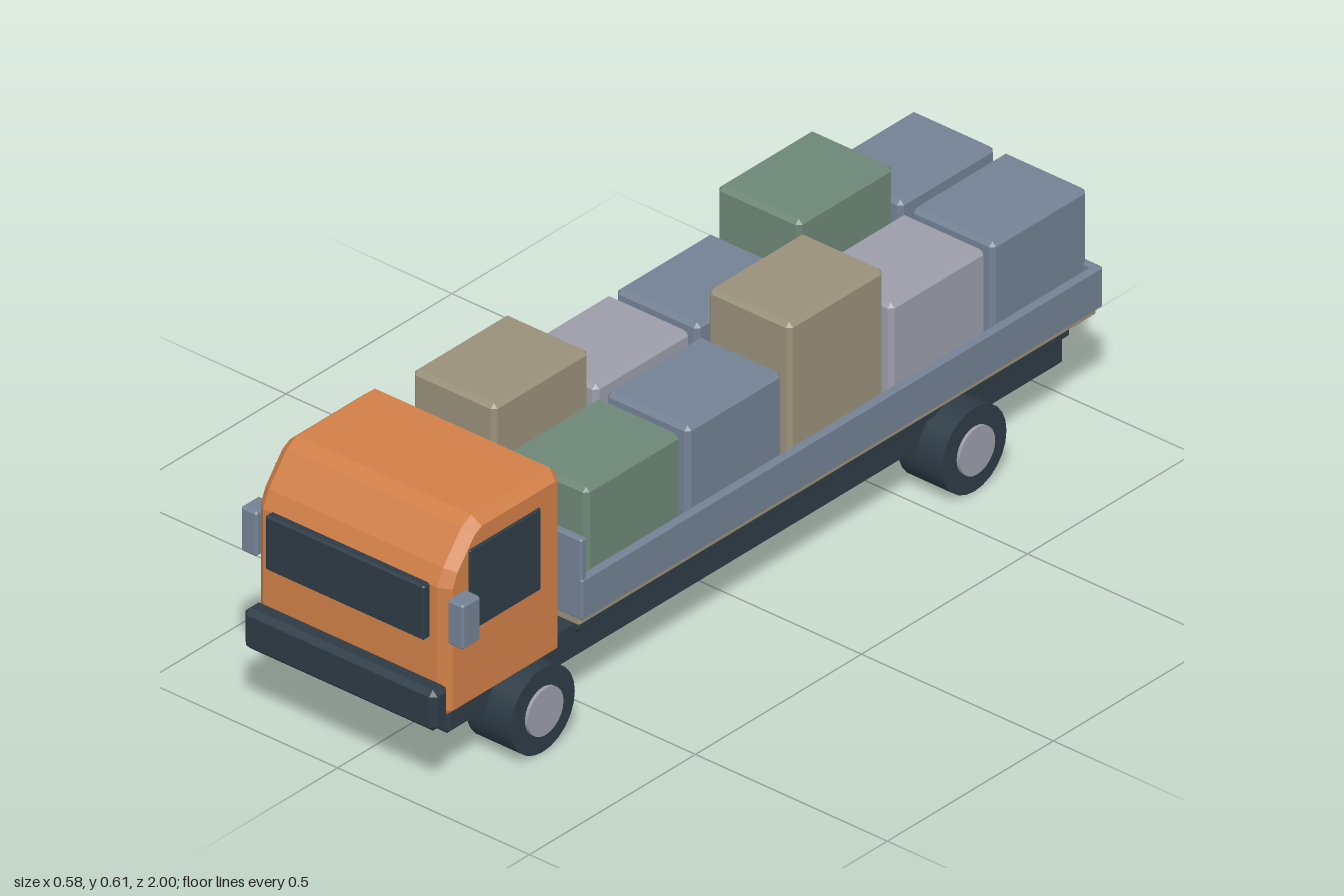
import * as THREE from 'three';
import { ConvexGeometry } from 'three/addons/geometries/ConvexGeometry.js';

const material = (name, color) => {
  const m = new THREE.MeshStandardMaterial({ color });
  m.name = name;
  return m;
};

// Box given by its limits on each axis, with every edge cut at 45 degrees
function chamferBox([x0, x1], [y0, y1], [z0, z1], c) {
  const half = [(x1 - x0) / 2, (y1 - y0) / 2, (z1 - z0) / 2];
  const points = [];
  for (const sx of [-1, 1]) for (const sy of [-1, 1]) for (const sz of [-1, 1]) {
    for (let axis = 0; axis < 3; axis++) {
      const p = half.map((h, i) => (i === axis ? h : h - c));
      points.push(new THREE.Vector3(p[0] * sx, p[1] * sy, p[2] * sz));
    }
  }
  return new ConvexGeometry(points).translate((x0 + x1) / 2, (y0 + y1) / 2, (z0 + z1) / 2);
}

export function createModel() {
  const truck = new THREE.Group();
  truck.name = 'truck';

  const orange = material('cab orange', 0xd07f47);
  const navy = material('dark navy', 0x2d3b46);
  const slate = material('slate blue', 0x738194);
  const tan = material('tan', 0x989079);
  const green = material('sage green', 0x6d8676);
  const lilac = material('pale grey', 0x9b9da9);

  const add = (name, geometry, mat, parent = truck) => {
    const mesh = new THREE.Mesh(geometry, mat);
    mesh.name = name;
    parent.add(mesh);
    return mesh;
  };
  const box = (name, mat, x, y, z, c = 0.005) => add(name, chamferBox(x, y, z, c), mat);

  // Chassis and load bed
  box('chassis', navy, [-0.2, 0.2], [0.106, 0.2], [-0.96, 0.9], 0.01);
  box('subframe', navy, [-0.21, 0.21], [0.167, 0.225], [-0.97, 0.52], 0.01);
  box('bedFloor', tan, [-0.253, 0.253], [0.225, 0.255], [-0.995, 0.565]);
  box('headboard', slate, [-0.263, 0.263], [0.245, 0.432], [0.552, 0.57], 0.004);
  box('tailboard', slate, [-0.263, 0.263], [0.245, 0.34], [-1, -0.982], 0.004);
  for (const s of [-1, 1]) {
    box('bedSide', slate, s > 0 ? [0.245, 0.265] : [-0.265, -0.245], [0.245, 0.34], [-1, 0.57], 0.004);
  }

  // Crates, two per row from the rear: [right colour, height, left colour, height]
  const rows = [
    [slate, 0.508, slate, 0.508],
    [green, 0.605, lilac, 0.508],
    [slate, 0.508, tan, 0.605],
    [lilac, 0.508, slate, 0.508],
    [tan, 0.605, green, 0.508],
  ];
  rows.forEach(([matR, topR, matL, topL], i) => {
    const z = [-0.997 + i * 0.306, -0.71 + i * 0.306];
    box('crateRight', matR, [-0.228, -0.012], [0.25, topR], z, 0.01);
    box('crateLeft', matL, [0.012, 0.228], [0.25, topL], z, 0.01);
  });

  // Cab: side profile drawn as (z, y) and extruded across the width
  const profile = new THREE.Shape([
    [0.607, 0.2], [0.62, 0.185], [0.95, 0.185], [0.962, 0.2], [0.962, 0.49],
    [0.945, 0.528], [0.89, 0.596], [0.86, 0.612], [0.625, 0.612], [0.607, 0.595],
  ].map(([z, y]) => new THREE.Vector2(-z, y)));
  const cab = new THREE.ExtrudeGeometry(profile, {
    depth: 0.454, bevelEnabled: true, bevelSegments: 1,
    bevelThickness: 0.023, bevelSize: 0.02, bevelOffset: -0.02,
  });
  cab.translate(0, 0, -0.227).rotateY(Math.PI / 2);
  add('cab', cab, orange);

  // Cab fittings
  box('windscreen', navy, [-0.207, 0.207], [0.366, 0.492], [0.956, 0.98], 0.004);
  box('frontBumper', navy, [-0.25, 0.25], [0.176, 0.27], [0.95, 1], 0.012);
  for (const s of [-1, 1]) {
    const side = (a, b) => (s > 0 ? [a, b] : [-b, -a]);
    box('sideWindow', navy, side(0.24, 0.255), [0.366, 0.555], [0.68, 0.895], 0.003);
    box('mirror', slate, side(0.248, 0.29), [0.366, 0.47], [0.903, 0.958], 0.005);
  }

  // Wheels with pale hubs
  for (const z of [0.69, -0.61]) for (const s of [-1, 1]) {
    const wheel = new THREE.Group();
    wheel.name = 'wheel';
    wheel.position.set(s * 0.208, 0.0965, z);
    wheel.rotation.z = -s * Math.PI / 2;
    add('tyre', new THREE.CylinderGeometry(0.0965, 0.0965, 0.117, 24), navy, wheel);
    add('hub', new THREE.CylinderGeometry(0.054, 0.054, 0.02, 24), lilac, wheel).position.y = 0.056;
    truck.add(wheel);
  }
  return truck;
}
